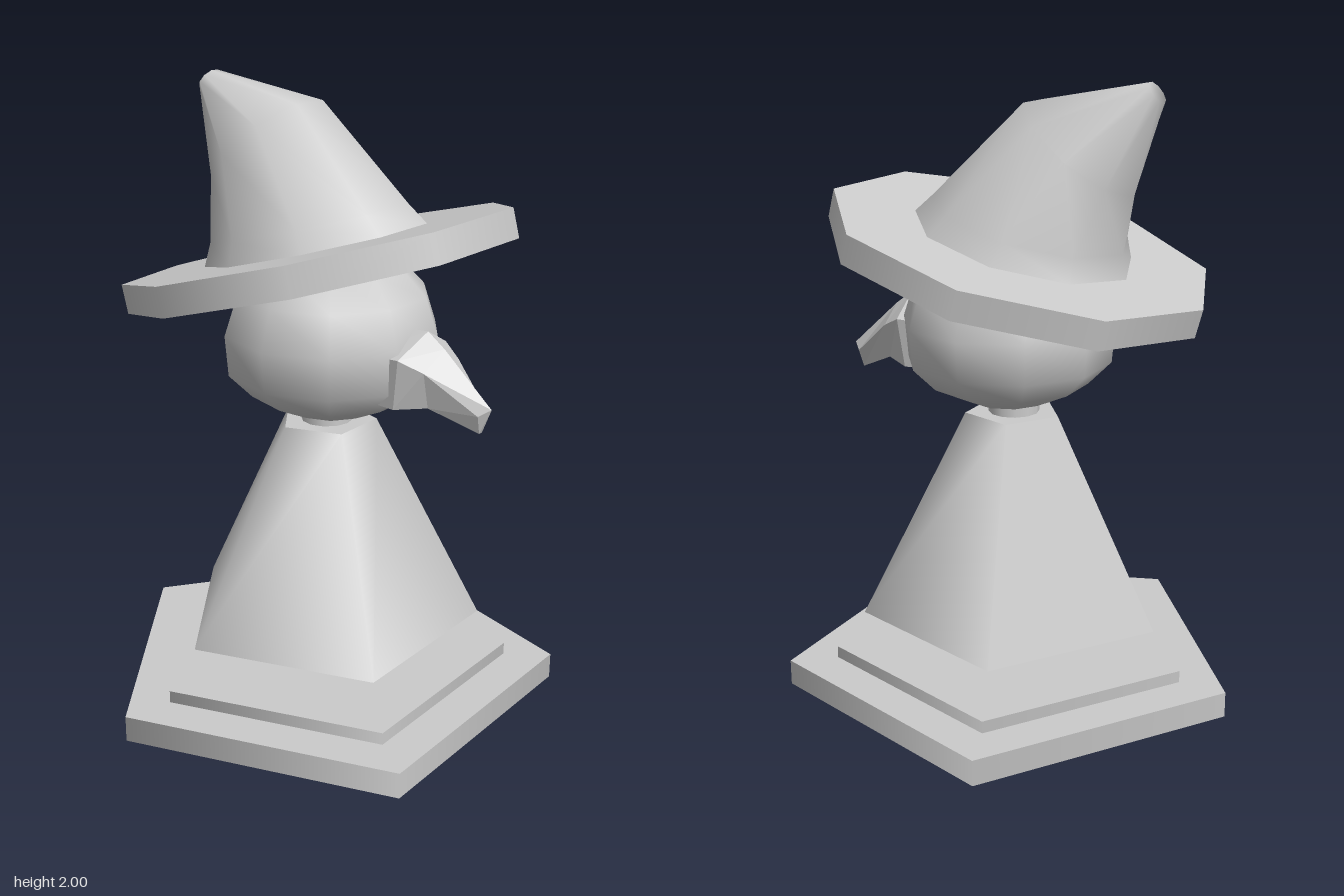
import * as THREE from 'three';

const material = new THREE.MeshStandardMaterial({ color: 0xcccccc });
const flatMaterial = new THREE.MeshStandardMaterial({ color: 0xcccccc, flatShading: true });
const CENTER_Z = 0.07;

// Skin over a list of equal-sized point rings, with the last ring capped
function loft(rings) {
  const n = rings[0].length;
  const positions = rings.flat(2);
  const index = [];
  for (let i = 0; i < rings.length - 1; i++) {
    for (let j = 0; j < n; j++) {
      const a = i * n + j, b = i * n + (j + 1) % n;
      index.push(a, b, a + n, b, b + n, a + n);
    }
  }
  const last = (rings.length - 1) * n;
  for (let j = 1; j < n - 1; j++) index.push(last, last + j, last + j + 1);
  const geometry = new THREE.BufferGeometry();
  geometry.setAttribute('position', new THREE.Float32BufferAttribute(positions, 3));
  geometry.setIndex(index);
  geometry.computeVertexNormals();
  return geometry;
}

// Nine-sided tilted ring given by its front and back [z, y] and its x radius
function hatRing([fz, fy], [bz, by], rx) {
  const span = 1 + Math.cos(Math.PI / 9);
  return Array.from({ length: 9 }, (_, k) => {
    const a = Math.PI / 9 + k * 2 * Math.PI / 9;
    const t = (Math.cos(a) + 1) / span;
    return [rx * Math.sin(a), by + (fy - by) * t, bz + (fz - bz) * t];
  });
}

// Five-sided beak section: ridge, upper corners, lower corners
function beakRing([topY, topZ], [ux, uy, uz], [lx, ly, lz]) {
  return [[0, topY, topZ], [-ux, uy, uz], [-lx, ly, lz], [lx, ly, lz], [ux, uy, uz]];
}

export function createModel() {
  const group = new THREE.Group();
  const add = (name, geometry, mat = material) => {
    const mesh = new THREE.Mesh(geometry, mat);
    mesh.name = name;
    group.add(mesh);
    return mesh;
  };

  // Upright prism or cylinder between two heights, with a corner at the back
  const column = (name, rTop, rBottom, y0, y1, sides, x = 0) => {
    const geometry = new THREE.CylinderGeometry(rTop, rBottom, y1 - y0, sides, 1, false, Math.PI);
    add(name, geometry).position.set(x, (y0 + y1) / 2, CENTER_Z);
  };

  // Stepped pentagonal base
  column('baseLower', 0.763, 0.763, 0, 0.085, 5);
  column('baseUpper', 0.604, 0.604, 0.085, 0.125, 5);

  // Legs, robe and neck
  column('leftLeg', 0.057, 0.057, 0.125, 0.3, 16, 0.127);
  column('rightLeg', 0.057, 0.057, 0.125, 0.3, 16, -0.127);
  column('robe', 0.16, 0.509, 0.245, 0.93, 5);
  column('neck', 0.083, 0.083, 0.9, 1.02, 12);

  // Head
  const headProfile = [
    [0, 0.96], [0.13, 0.97], [0.26, 1.03], [0.335, 1.105], [0.346, 1.235],
    [0.305, 1.36], [0.22, 1.45], [0.1, 1.485], [0, 1.49],
  ].map(([r, y]) => new THREE.Vector2(r, y));
  add('head', new THREE.LatheGeometry(headProfile, 10, Math.PI / 10)).position.z = 0.088;

  // Hooked beak
  add('beak', loft([
    beakRing([1.28, 0.3], [0.125, 1.22, 0.3], [0.115, 1.07, 0.3]),
    beakRing([1.29, 0.45], [0.13, 1.225, 0.43], [0.12, 1.065, 0.41]),
    beakRing([1.245, 0.51], [0.095, 1.19, 0.5], [0.068, 1.075, 0.5]),
    beakRing([1.09, 0.68], [0.028, 1.07, 0.65], [0.008, 1.01, 0.645]),
  ]), flatMaterial);

  // Hat brim, raised at the front
  const tilt = Math.PI / 12;
  const brimGeometry = new THREE.CylinderGeometry(0.625, 0.625, 0.093, 9, 1, false, Math.PI);
  brimGeometry.translate(0, -0.0465, 0);
  const brim = add('hatBrim', brimGeometry);
  brim.position.set(0, 1.4975, 0.031);
  brim.rotation.x = -tilt;

  // Hat crown, bent backwards
  add('hatCrown', loft([
    hatRing([0.357, 1.583], [-0.32, 1.402], 0.355),
    hatRing([0.295, 1.64], [-0.308, 1.48], 0.315),
    hatRing([0, 1.93], [-0.34, 1.66], 0.19),
    hatRing([-0.385, 2.0], [-0.43, 1.94], 0.042),
  ]));

  return group;
}
